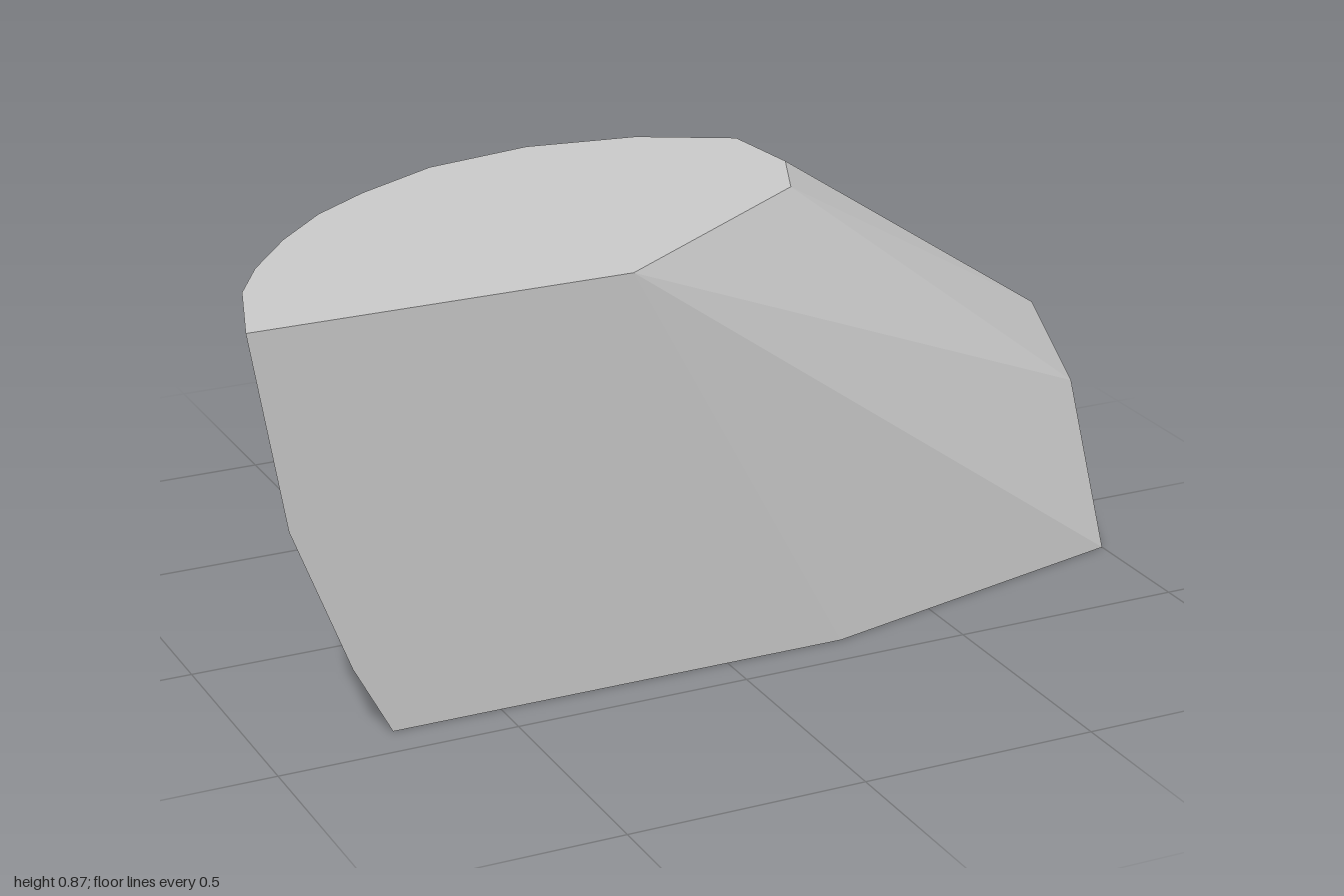
import * as THREE from 'three';
import { ConvexGeometry } from 'three/addons/geometries/ConvexGeometry.js';

export function createModel() {
  const group = new THREE.Group();
  const points = [];
  const add = (x, y, z) => points.push(new THREE.Vector3(x, y, z));

  // Curved back edge, from the front left corner round to the right, at each level [x, z]
  const levels = [
    { y: 0.87, edge: [[-1, 0.415], [-0.93, 0.2], [-0.86, 0.08], [-0.75, -0.06], [-0.63, -0.18], [-0.5, -0.27], [-0.31, -0.37], [-0.07, -0.415]] },
    { y: 0.46, edge: [[-0.93, 0.415], [-0.86, 0.2], [-0.78, 0.07], [-0.67, -0.07], [-0.54, -0.18], [-0.4, -0.27], [-0.21, -0.36], [0.03, -0.408]] },
    { y: 0.15, edge: [[-0.81, 0.415], [-0.74, 0.2], [-0.65, 0.06], [-0.53, -0.07], [-0.4, -0.18], [-0.26, -0.26], [-0.06, -0.35], [0.2, -0.398]] },
    { y: 0, edge: [[-0.73, 0.415], [-0.61, 0.14], [-0.51, 0.01], [-0.22, -0.21], [0.06, -0.34], [0.34, -0.375]] },
  ];
  for (const { y, edge } of levels) for (const [x, z] of edge) add(x, y, z);

  // Right half of the flat top
  for (const [x, z] of [[0.17, -0.38], [0.36, -0.28], [0.38, -0.09], [0.31, 0.07], [-0.21, 0.415]]) add(x, 0.87, z);

  // Flat right end [y, z]
  for (const [y, z] of [[0, 0.235], [0.335, 0.08], [0.46, -0.095], [0.4, -0.29], [0.15, -0.388], [0, -0.37]]) add(1, y, z);

  // Lower front corner
  add(0.26, 0, 0.415);

  const rock = new THREE.Mesh(
    new ConvexGeometry(points),
    new THREE.MeshStandardMaterial({ color: 0xcccccc, flatShading: true })
  );
  rock.name = 'rock';
  group.add(rock);
  return group;
}
